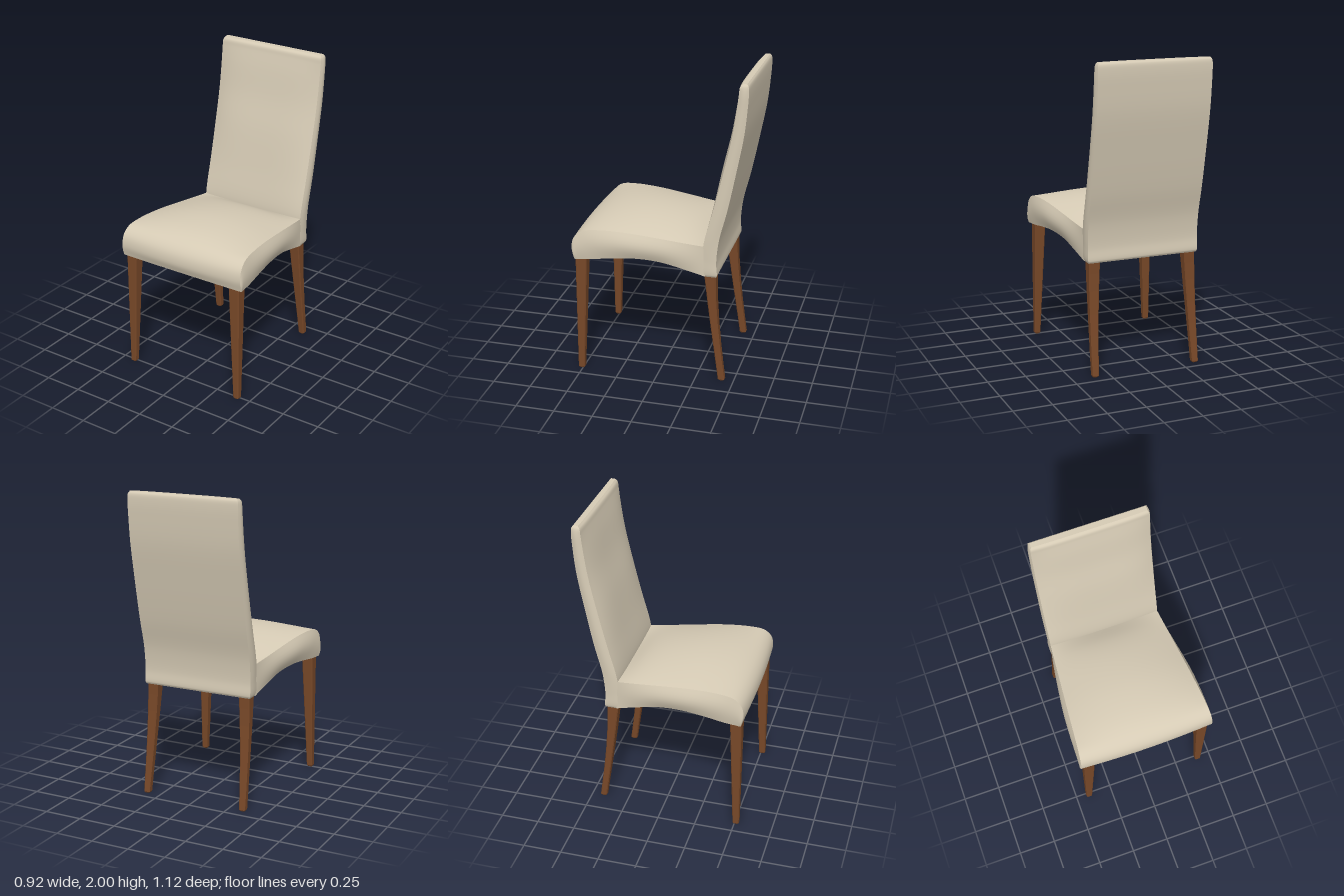
import * as THREE from 'three';

const fabric = new THREE.MeshStandardMaterial({ color: 0xd6cbb5 });
fabric.name = 'cream fabric';
const wood = new THREE.MeshStandardMaterial({ color: 0x784828 });
wood.name = 'brown wood';

// Smooth patch from a rule f(u, v) -> [x, y, z]
function patch(f, nu, nv) {
  const pos = [], idx = [];
  for (let i = 0; i <= nu; i++)
    for (let j = 0; j <= nv; j++) {
      pos.push(...f(i / nu, j / nv));
      if (i < nu && j < nv) {
        const a = i * (nv + 1) + j, b = a + nv + 1;
        idx.push(a, b, a + 1, b, b + 1, a + 1);
      }
    }
  const g = new THREE.BufferGeometry();
  g.setAttribute('position', new THREE.Float32BufferAttribute(pos, 3));
  g.setIndex(idx);
  g.computeVertexNormals();
  return g;
}

// Padded cushion. Each station: [centre z, y, edge z, y, rear z, y, half width, side bulge]
function cushion(name, stations, crownPower) {
  const curve = (pick) => new THREE.CatmullRomCurve3(stations.map((s) => new THREE.Vector3(...pick(s))));
  const centre = curve((s) => [s[0], s[1], 0]);
  const edge = curve((s) => [s[2], s[3], s[6]]);
  const rear = curve((s) => [s[4], s[5], s[7]]);
  const n = (stations.length - 1) * 5;

  const face = (u, v) => {
    const c = centre.getPoint(u), e = edge.getPoint(u), t = 2 * v - 1;
    const k = 1 - Math.abs(t) ** crownPower;
    return [e.z * t, e.y + (c.y - e.y) * k, e.x + (c.x - e.x) * k];
  };
  const under = (u, v) => {
    const b = rear.getPoint(u);
    return [edge.getPoint(u).z * (1 - 2 * v), b.y, b.x];
  };
  const side = (sign) => (u, v) => {
    const e = edge.getPoint(u), b = rear.getPoint(u), s = sign > 0 ? v : 1 - v;
    return [sign * (e.z + b.z * Math.sin(Math.PI * s)), e.y + (b.y - e.y) * s, e.x + (b.x - e.x) * s];
  };
  const cap = (end) => (u, v) => {
    const t = end ? v : 1 - v, p = face(end, t), q = under(end, 1 - t);
    return p.map((a, i) => a + (q[i] - a) * u);
  };

  const group = new THREE.Group();
  group.name = name;
  const add = (part, g) => {
    const m = new THREE.Mesh(g, fabric);
    m.name = name + part;
    group.add(m);
  };
  add('Face', patch(face, n, 24));
  add('LeftSide', patch(side(1), n, 8));
  add('RightSide', patch(side(-1), n, 8));
  add('Underside', patch(under, n, 4));
  add('StartCap', patch(cap(0), 2, 24));
  add('EndCap', patch(cap(1), 2, 24));
  return group;
}

// Tapered leg with chamfered corners. Each level: [y, x0, x1, z0, z1], top to bottom
function leg(name, levels, mirror) {
  const pos = [], idx = [], c = 0.006;
  for (const [y, x0, x1, z0, z1] of levels) {
    const ring = [[x0 + c, z0], [x1 - c, z0], [x1, z0 + c], [x1, z1 - c],
      [x1 - c, z1], [x0 + c, z1], [x0, z1 - c], [x0, z0 + c]];
    if (mirror) ring.reverse();
    ring.forEach(([x, z]) => pos.push(mirror ? -x : x, y, z));
  }
  for (let i = 0; i < levels.length - 1; i++)
    for (let j = 0; j < 8; j++) {
      const a = i * 8 + j, b = i * 8 + (j + 1) % 8;
      idx.push(a, b, a + 8, b, b + 8, a + 8);
    }
  const last = (levels.length - 1) * 8;
  for (let j = 1; j < 7; j++) {
    idx.push(0, j + 1, j);
    idx.push(last, last + j, last + j + 1);
  }
  const g = new THREE.BufferGeometry();
  g.setAttribute('position', new THREE.Float32BufferAttribute(pos, 3));
  g.setIndex(idx);
  const flat = g.toNonIndexed();
  flat.computeVertexNormals();
  const m = new THREE.Mesh(flat, wood);
  m.name = name;
  return m;
}

export function createModel() {
  const chair = new THREE.Group();
  chair.name = 'diningChair';

  // Curved backrest, from the top edge down
  chair.add(cushion('backrest', [
    [-0.515, 2.0, -0.52, 1.998, -0.55, 2.0, 0.365, 0],
    [-0.50, 1.985, -0.508, 1.98, -0.56, 1.985, 0.373, 0.004],
    [-0.492, 1.95, -0.503, 1.94, -0.563, 1.94, 0.375, 0.009],
    [-0.47, 1.85, -0.493, 1.85, -0.556, 1.83, 0.375, 0.01],
    [-0.435, 1.66, -0.467, 1.67, -0.54, 1.68, 0.375, 0.01],
    [-0.385, 1.45, -0.42, 1.45, -0.50, 1.46, 0.375, 0.01],
    [-0.333, 1.18, -0.355, 1.18, -0.443, 1.18, 0.375, 0.01],
    [-0.297, 1.0, -0.307, 1.0, -0.398, 1.0, 0.375, 0.008],
    [-0.29, 0.93, -0.295, 0.93, -0.384, 0.9, 0.375, 0.006],
    [-0.295, 0.85, -0.295, 0.85, -0.38, 0.82, 0.375, 0.004],
    [-0.30, 0.745, -0.30, 0.745, -0.385, 0.745, 0.374, 0.002],
    [-0.31, 0.73, -0.31, 0.73, -0.378, 0.73, 0.368, 0],
  ], 4));

  // Domed seat, from the backrest to the rolled front
  chair.add(cushion('seat', [
    [-0.31, 0.925, -0.31, 0.935, -0.31, 0.732, 0.374, 0],
    [-0.18, 0.99, -0.18, 0.95, -0.18, 0.77, 0.386, 0.012],
    [-0.02, 1.03, -0.02, 0.97, -0.02, 0.81, 0.40, 0.022],
    [0.20, 1.05, 0.20, 0.995, 0.14, 0.825, 0.42, 0.026],
    [0.40, 1.03, 0.38, 1.0, 0.30, 0.815, 0.435, 0.021],
    [0.505, 0.985, 0.48, 0.985, 0.42, 0.80, 0.444, 0.014],
    [0.55, 0.93, 0.53, 0.94, 0.50, 0.795, 0.449, 0.01],
    [0.56, 0.86, 0.545, 0.87, 0.52, 0.793, 0.45, 0.008],
    [0.54, 0.80, 0.53, 0.795, 0.53, 0.795, 0.45, 0],
  ], 2));

  // Straight tapered front legs and swept rear legs
  const frontLevels = [
    [0.83, 0.353, 0.43, 0.453, 0.53],
    [0.008, 0.39, 0.43, 0.488, 0.53],
    [0, 0.395, 0.425, 0.493, 0.525],
  ];
  const rearLevels = [
    [0.77, 0.287, 0.363, -0.375, -0.295],
    [0.66, 0.293, 0.364, -0.376, -0.31],
    [0.55, 0.299, 0.365, -0.381, -0.323],
    [0.40, 0.307, 0.366, -0.393, -0.343],
    [0.26, 0.314, 0.367, -0.408, -0.363],
    [0.12, 0.321, 0.368, -0.426, -0.383],
    [0.008, 0.326, 0.368, -0.442, -0.398],
    [0, 0.331, 0.363, -0.437, -0.403],
  ];
  for (const mirror of [false, true]) {
    const hand = mirror ? 'Right' : 'Left';
    chair.add(leg('front' + hand + 'Leg', frontLevels, mirror));
    chair.add(leg('rear' + hand + 'Leg', rearLevels, mirror));
  }
  return chair;
}
